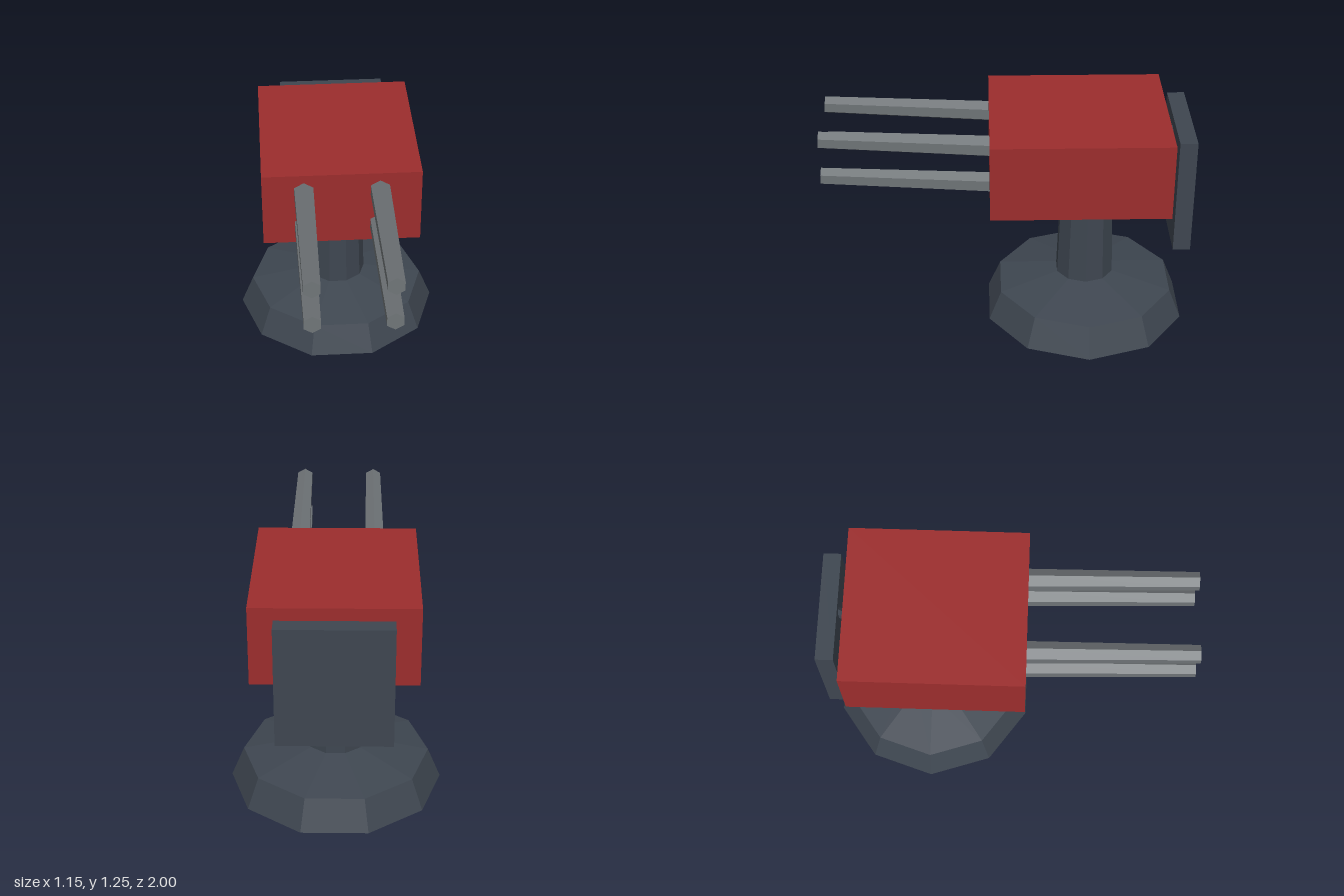
import * as THREE from 'three';

export function createModel() {
  const model = new THREE.Group();
  model.name = 'turret';

  const flat = (name, color) => {
    const m = new THREE.MeshStandardMaterial({ color, flatShading: true });
    m.name = name;
    return m;
  };
  const slate = flat('slate', 0x3e4650);
  const red = flat('red', 0x9c2d2d);
  const grey = flat('grey', 0x6e7376);

  const add = (name, geometry, material, x, y, z) => {
    const mesh = new THREE.Mesh(geometry, material);
    mesh.name = name;
    mesh.position.set(x, y, z);
    model.add(mesh);
    return mesh;
  };

  const axisZ = -0.446;

  // Ten-sided foot with a shallow sloping top, corners on the x axis
  const profile = [[0, 0], [0.575, 0], [0.505, 0.17], [0.165, 0.24], [0, 0.24]]
    .map(([r, y]) => new THREE.Vector2(r, y));
  add('base', new THREE.LatheGeometry(profile, 10, Math.PI / 2), slate, 0, 0, axisZ);

  // Tapered column
  add('column', new THREE.CylinderGeometry(0.146, 0.165, 0.6, 10, 1, false, Math.PI / 2),
    slate, 0, 0.54, axisZ);

  // Gun housing
  add('housing', new THREE.BoxGeometry(0.86, 0.43, 0.965), red, 0, 1.035, -0.3875);

  // Four six-sided barrels, tapering and tilted slightly upward
  const tilt = Math.atan2(0.048, 0.905);
  const length = 0.96;
  const barrel = new THREE.CylinderGeometry(0.049, 0.06, length, 6);
  barrel.rotateX(Math.PI / 2 - tilt);
  for (const x of [-0.205, 0.205]) {
    for (const tipY of [0.975, 1.193]) {
      add('barrel', barrel, grey, x,
        tipY - Math.sin(tilt) * length / 2, 0.997 - Math.cos(tilt) * length / 2);
    }
  }

  // Rear plate and the slanted strut that carries it
  add('rearPlate', new THREE.BoxGeometry(0.6, 0.66, 0.095), slate, 0, 0.87, -0.9525);
  const strut = add('rearStrut', new THREE.CylinderGeometry(0.026, 0.026, 0.16, 6),
    slate, 0, 1.09, -0.8875);
  strut.rotation.x = -0.65;

  return model;
}
